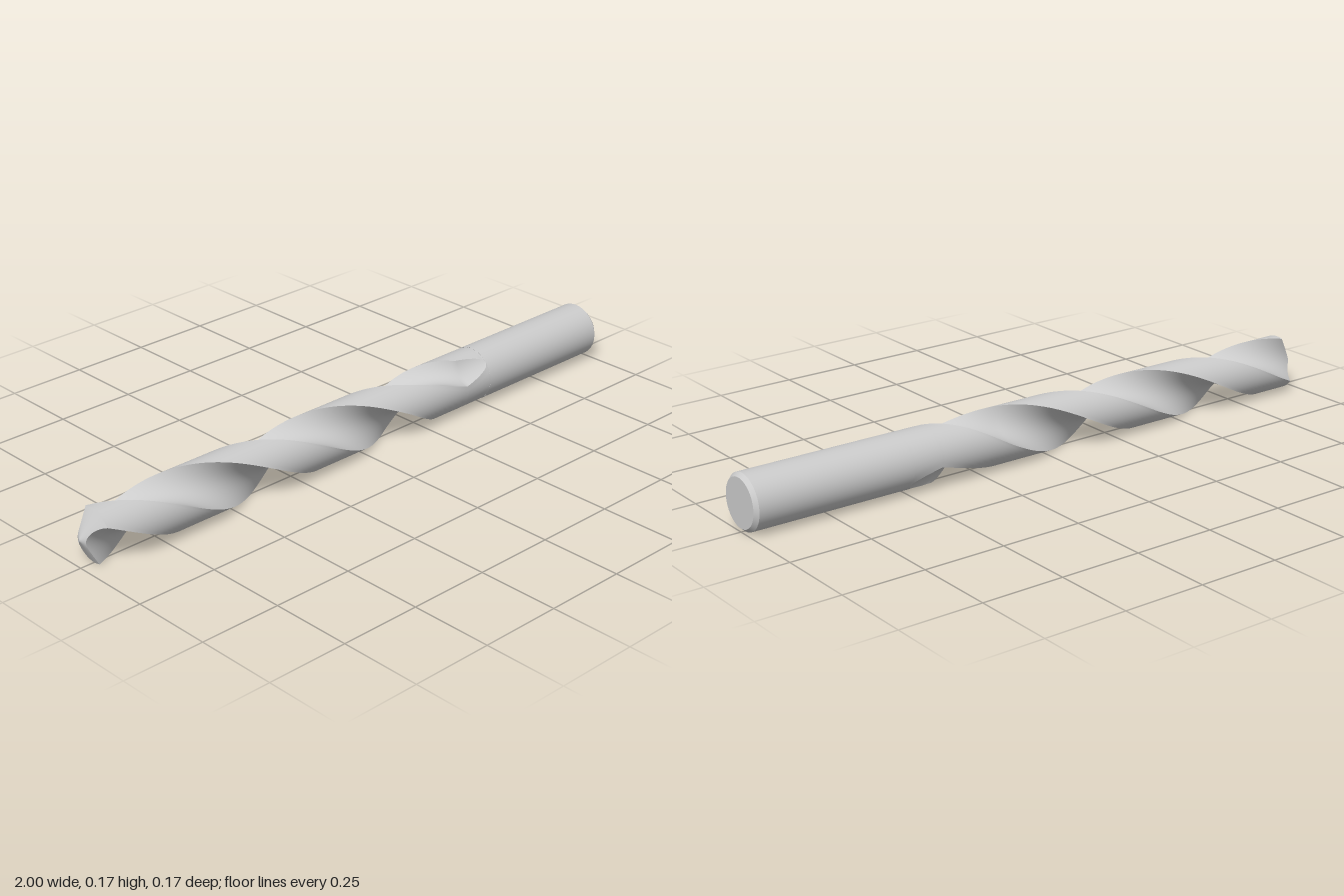
import * as THREE from 'three';

const R = 0.0835;      // drill radius, also the height of its axis
const WEB = 0.018;     // half thickness of the core between the flutes
const CURVE = 6.5;     // curvature of the flute floor
const PITCH = 1.02;    // length of one full twist
const CONE = 0.54;     // slope of the point
const FLUTE_END = 0.5;
const FLUTE_COLS = 28, LAND_COLS = 12;

// Flute floor distance from the axis: constant, then rising to the surface
const floorAt = (x) => {
  const t = THREE.MathUtils.clamp((x - 0.15) / (FLUTE_END - 0.15), 0, 1);
  return WEB + (R - WEB) * t ** 1.4;
};

// Half width of the flute where its parabola out = D + CURVE * l^2 meets the circle
const halfWidth = (D) => {
  const a = CURVE * CURVE, b = 2 * CURVE * D + 1, c = D * D - R * R;
  return Math.sqrt(Math.max(0, (-b + Math.sqrt(b * b - 4 * a * c)) / (2 * a)));
};

// Turns section coordinates (out, l) by the helix angle at x; the flute exits straight
const twist = (x, out, l) => {
  const a = -2 * Math.PI * (Math.min(x, 0.4) - 0.01) / PITCH;
  return [x, out * Math.sin(a) + l * Math.cos(a), out * Math.cos(a) - l * Math.sin(a)];
};

// Pushes the first stations back onto the point cone
const ontoCone = (x, out, l) =>
  x + CONE * Math.hypot(out, l) * Math.max(0, 1 - (x + 1) / 0.2);

// Smooth grid surface from point(u, v)
function patch(rows, cols, point) {
  const pos = [], index = [];
  for (let i = 0; i <= rows; i++)
    for (let j = 0; j <= cols; j++) pos.push(...point(i / rows, j / cols));
  for (let i = 0; i < rows; i++)
    for (let j = 0; j < cols; j++) {
      const a = i * (cols + 1) + j, b = a + cols + 1;
      index.push(a, b, a + 1, b, b + 1, a + 1);
    }
  const g = new THREE.BufferGeometry();
  g.setAttribute('position', new THREE.Float32BufferAttribute(pos, 3));
  g.setIndex(index);
  g.computeVertexNormals();
  return g;
}

// Concave helical groove
const fluteGeometry = () => patch(180, FLUTE_COLS, (u, v) => {
  const x = -1 + u * (FLUTE_END + 1);
  const D = floorAt(x), l = halfWidth(D) * (2 * v - 1), out = D + CURVE * l * l;
  return twist(ontoCone(x, out, l), out, l);
});

// Outer cylindrical strip from one flute to the next
const landGeometry = () => patch(180, LAND_COLS, (u, v) => {
  const x = -1 + u * (FLUTE_END + 1);
  const corner = Math.asin(halfWidth(floorAt(x)) / R);
  const a = corner + (Math.PI - 2 * corner) * v;
  const out = R * Math.cos(a), l = R * Math.sin(a);
  return twist(ontoCone(x, out, l), out, l);
});

// Half of the conical point, from the chisel line out to one flute
const pointGeometry = () => {
  const L = halfWidth(WEB), corner = Math.asin(L / R);
  return patch(6, FLUTE_COLS + LAND_COLS, (t, v) => {
    const w = 2 * v - 1, share = FLUTE_COLS / (FLUTE_COLS + LAND_COLS);
    let l = L * w / share, edge = WEB + CURVE * l * l;
    if (Math.abs(w) > share) {
      const a = corner + (Math.PI / 2 - corner) * (Math.abs(w) - share) / (1 - share);
      l = Math.sign(w) * R * Math.sin(a);
      edge = R * Math.cos(a);
    }
    const out = t * edge;
    return twist(-1 + CONE * Math.hypot(out, l), out, l);
  });
};

export function createModel() {
  const model = new THREE.Group();
  model.name = 'twistDrill';
  const material = new THREE.MeshStandardMaterial({ color: 0xcccccc, side: THREE.DoubleSide });
  const add = (name, geometry, turn = 0) => {
    const mesh = new THREE.Mesh(geometry, material);
    mesh.name = name;
    mesh.position.y = R;
    mesh.rotation.x = turn;
    model.add(mesh);
  };

  // Two identical halves of the fluted body, half a turn apart
  const parts = { flute: fluteGeometry(), land: landGeometry(), drillPoint: pointGeometry() };
  for (const [name, geometry] of Object.entries(parts))
    for (const k of [0, 1]) add(name + (k + 1), geometry, k * Math.PI);

  // Plain shank with a chamfered, flat end
  const ring = (name, r1, x1, r2, x2) => {
    const g = new THREE.CylinderGeometry(r2, r1, x2 - x1, 64, 1, true);
    add(name, g.rotateZ(-Math.PI / 2).translate((x1 + x2) / 2, 0, 0));
  };
  ring('shank', R, FLUTE_END, R, 0.988);
  ring('shankChamfer', R, 0.988, 0.073, 1);
  add('shankEnd', new THREE.CircleGeometry(0.073, 64).rotateY(Math.PI / 2).translate(1, 0, 0));
  return model;
}
